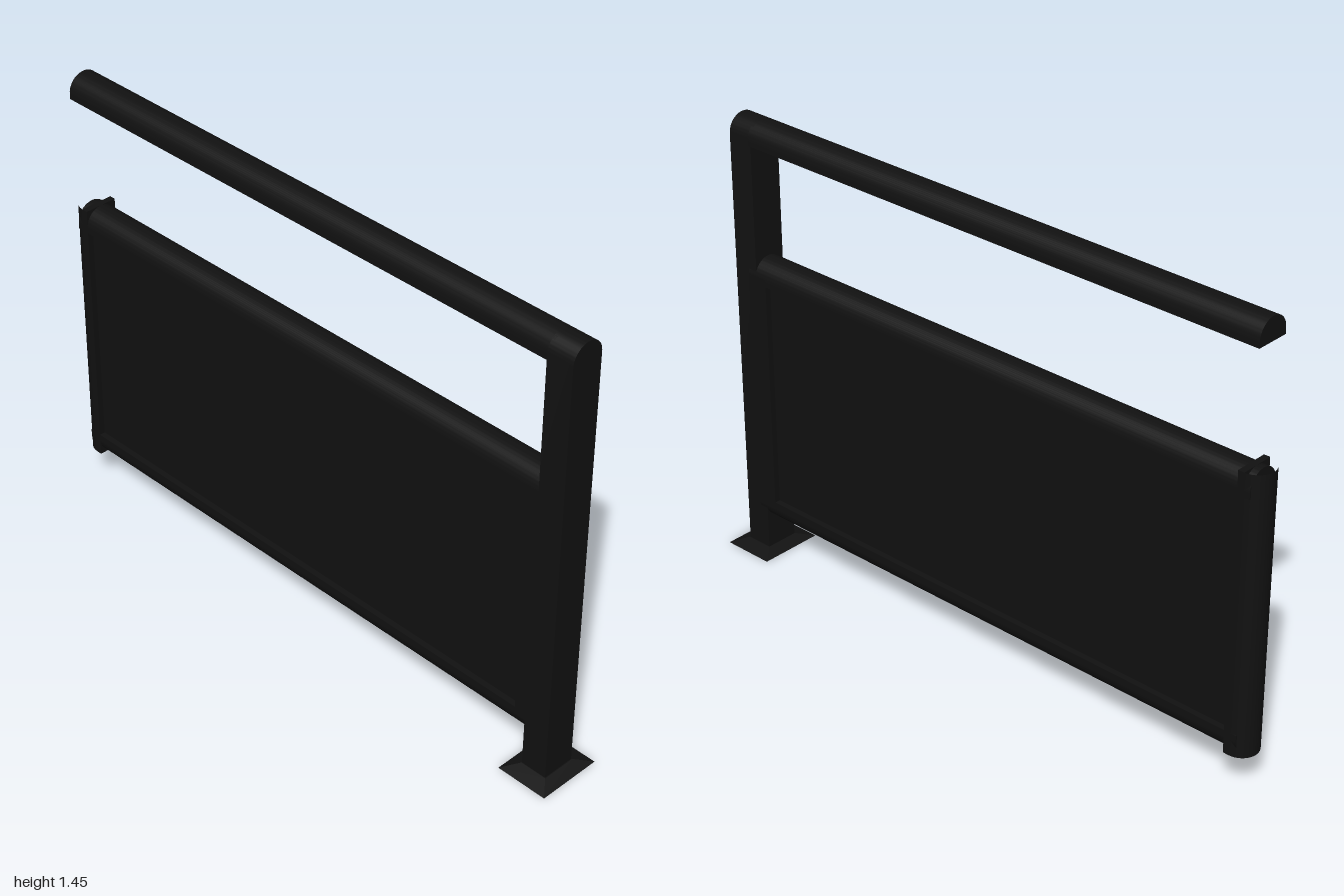
import * as THREE from 'three';
import { toCreasedNormals } from 'three/addons/utils/BufferGeometryUtils.js';

const R = 0.054; // half depth of the rails and the post

export function createModel() {
  const model = new THREE.Group();
  const black = new THREE.MeshStandardMaterial({ color: 0x111111 });

  const add = (parent, name, geometry, x = 0, y = 0, z = 0) => {
    const mesh = new THREE.Mesh(geometry, black);
    mesh.name = name;
    mesh.position.set(x, y, z);
    parent.add(mesh);
    return mesh;
  };

  // Bar along x with a flat base at y = 0 and a half-round top
  const domedBar = (x0, x1, height) => {
    const shape = new THREE.Shape();
    shape.moveTo(-R, 0);
    shape.lineTo(R, 0);
    shape.lineTo(R, height - R);
    shape.absarc(0, height - R, R, 0, Math.PI, false);
    const geo = new THREE.ExtrudeGeometry(shape, { depth: x1 - x0, bevelEnabled: false, curveSegments: 16 });
    geo.rotateY(Math.PI / 2);
    geo.translate(x0, 0, 0);
    return toCreasedNormals(geo, 0.6);
  };

  // Upright post with rounded head, and the handrail running from it
  add(model, 'post', domedBar(0.87, 0.956, 1.435), 0, 0.01);
  add(model, 'handrail', domedBar(-0.968, 0.88, 0.072), 0, 1.373);

  // Foot plate sloping up to the post
  const plate = new THREE.BoxGeometry(0.17, 0.015, 0.21).toNonIndexed();
  const p = plate.attributes.position;
  for (let i = 0; i < p.count; i++) {
    if (p.getY(i) > 0) p.setXYZ(i, p.getX(i) * 0.52, p.getY(i), p.getZ(i) * 0.53);
  }
  plate.computeVertexNormals();
  add(model, 'footPlate', plate, 0.914, 0.0075);

  // Framed infill panel
  const panel = new THREE.Group();
  panel.name = 'framedPanel';
  panel.position.z = -0.003;
  model.add(panel);
  const bottom = 0.12, top = 1.01, height = top - bottom, midY = (top + bottom) / 2;

  add(panel, 'topFrameRail', domedBar(-0.967, 0.9, 0.074), 0, top - 0.074);
  const lower = add(panel, 'bottomFrameRail', domedBar(-0.9, 0.967, 0.074), 0, bottom + 0.074);
  lower.rotation.z = Math.PI;

  // Free end of the frame: flat inner part and half-round outer edge
  add(panel, 'endStile', new THREE.BoxGeometry(0.02, height, 2 * R), -1 + R + 0.01, midY);
  add(panel, 'endStileRound',
    new THREE.CylinderGeometry(R, R, height, 16, 1, true, Math.PI, Math.PI), -1 + R, midY);
  add(panel, 'postStile', new THREE.BoxGeometry(0.07, height - 0.1, 2 * R), 0.865, midY);
  add(panel, 'infillBoard', new THREE.BoxGeometry(1.8, height - 0.12, 0.07), -0.04, midY);

  return model;
}
